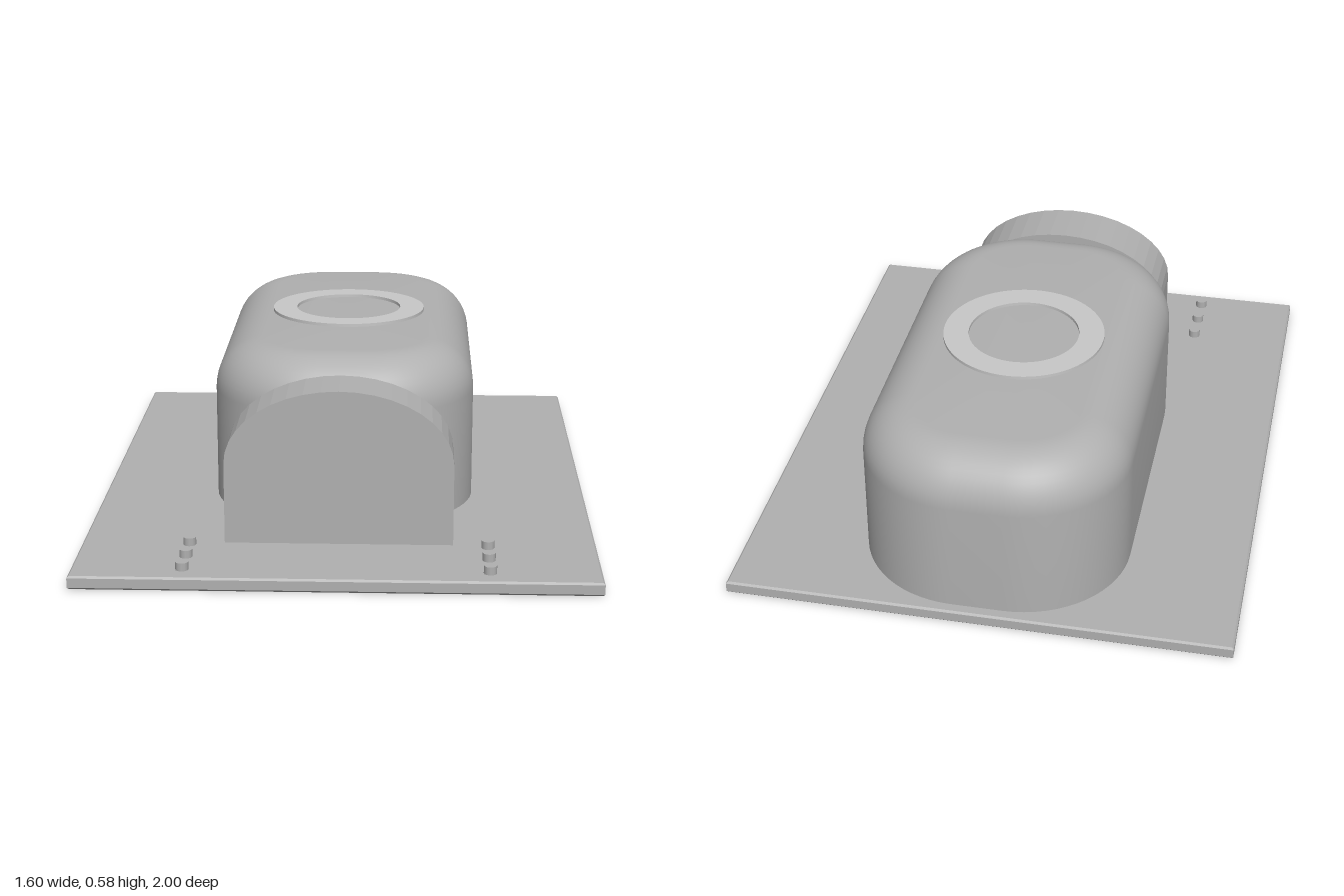
import * as THREE from 'three';
import { toCreasedNormals } from 'three/addons/utils/BufferGeometryUtils.js';

const PLATE_TOP = 0.042;
const grey = new THREE.MeshStandardMaterial({ name: 'grey', color: 0xb0b0b0 });
const lightGrey = new THREE.MeshStandardMaterial({ name: 'light grey', color: 0xc8c8c8 });

function add(group, name, geometry, material, x = 0, y = 0, z = 0) {
  const mesh = new THREE.Mesh(geometry, material);
  mesh.name = name;
  mesh.position.set(x, y, z);
  group.add(mesh);
  return mesh;
}

// Thin slab with slightly chamfered edges
function plateGeometry(width, height, depth, chamfer) {
  const w = width / 2 - chamfer, d = depth / 2 - chamfer;
  const shape = new THREE.Shape([[-w, -d], [w, -d], [w, d], [-w, d]].map(([x, y]) => new THREE.Vector2(x, y)));
  return new THREE.ExtrudeGeometry(shape, {
    depth: height - 2 * chamfer, bevelEnabled: true,
    bevelSize: chamfer, bevelThickness: chamfer, bevelSegments: 1,
  }).rotateX(-Math.PI / 2).translate(0, chamfer, 0);
}

// Rounded-rectangle cross-sections stacked upward, drawn in along a quarter circle at the top
function housingGeometry(halfX, halfZ, corner, bottom, top, round) {
  const cornerSteps = 16, roundSteps = 12;
  const rings = [[0, bottom]];
  for (let i = 0; i <= roundSteps; i++) {
    const a = (i / roundSteps) * Math.PI / 2;
    rings.push([round * (1 - Math.cos(a)), top - round + round * Math.sin(a)]);
  }
  const count = 4 * (cornerSteps + 1);
  const positions = [], indices = [];
  for (const [inset, y] of rings) {
    for (let c = 0; c < 4; c++) {
      const sx = c === 0 || c === 3 ? 1 : -1, sz = c < 2 ? 1 : -1;
      for (let i = 0; i <= cornerSteps; i++) {
        const a = (c + i / cornerSteps) * Math.PI / 2;
        positions.push(
          sx * (halfX - corner) + (corner - inset) * Math.cos(a), y,
          sz * (halfZ - corner) + (corner - inset) * Math.sin(a));
      }
    }
  }
  for (let r = 0; r < rings.length - 1; r++) {
    for (let i = 0; i < count; i++) {
      const j = (i + 1) % count, a = r * count + i, b = r * count + j;
      indices.push(a, a + count, b, b, a + count, b + count);
    }
  }
  // Flat top and bottom caps
  const last = (rings.length - 1) * count;
  positions.push(0, top, 0, 0, bottom, 0);
  const topCentre = rings.length * count;
  for (let i = 0; i < count; i++) {
    const j = (i + 1) % count;
    indices.push(topCentre, last + j, last + i, topCentre + 1, i, j);
  }
  const geometry = new THREE.BufferGeometry();
  geometry.setAttribute('position', new THREE.Float32BufferAttribute(positions, 3));
  geometry.setIndex(indices);
  return toCreasedNormals(geometry, 0.6);
}

// Upright block with a half-elliptical top
function archGeometry(halfWidth, spring, top, depth) {
  const shape = new THREE.Shape();
  shape.moveTo(-halfWidth, PLATE_TOP);
  shape.lineTo(halfWidth, PLATE_TOP);
  const steps = 20;
  for (let i = 0; i <= steps; i++) {
    const a = (i / steps) * Math.PI;
    shape.lineTo(halfWidth * Math.cos(a), spring + (top - spring) * Math.sin(a));
  }
  shape.closePath();
  return new THREE.ExtrudeGeometry(shape, { depth, bevelEnabled: false });
}

// Flat washer with an open centre
function ringGeometry(outer, inner, height) {
  const shape = new THREE.Shape().absarc(0, 0, outer, 0, Math.PI * 2);
  shape.holes.push(new THREE.Path().absarc(0, 0, inner, 0, Math.PI * 2, true));
  const geometry = new THREE.ExtrudeGeometry(shape, { depth: height, bevelEnabled: false, curveSegments: 32 });
  return toCreasedNormals(geometry.rotateX(-Math.PI / 2), 0.6);
}

export function createModel() {
  const model = new THREE.Group();
  model.name = 'domedHousingOnPlate';

  add(model, 'basePlate', plateGeometry(1.6, PLATE_TOP, 2, 0.006), grey);
  add(model, 'housing', housingGeometry(0.426, 0.738, 0.345, PLATE_TOP, 0.575, 0.165), grey, 0, 0, -0.227);
  add(model, 'topRing', ringGeometry(0.262, 0.18, 0.011), lightGrey, 0, 0.574, -0.22);
  add(model, 'frontArch', archGeometry(0.356, 0.3, 0.535, 0.185), grey, 0, 0, 0.51);

  // Two mirrored rows of small pegs
  const pegs = new THREE.Group();
  pegs.name = 'pegs';
  const peg = new THREE.CylinderGeometry(0.02, 0.02, 0.025, 12);
  for (const side of [-1, 1]) {
    for (const z of [0.713, 0.82, 0.927]) {
      add(pegs, side > 0 ? 'leftPeg' : 'rightPeg', peg, grey, side * 0.463, PLATE_TOP + 0.0125, z);
    }
  }
  model.add(pegs);
  return model;
}
